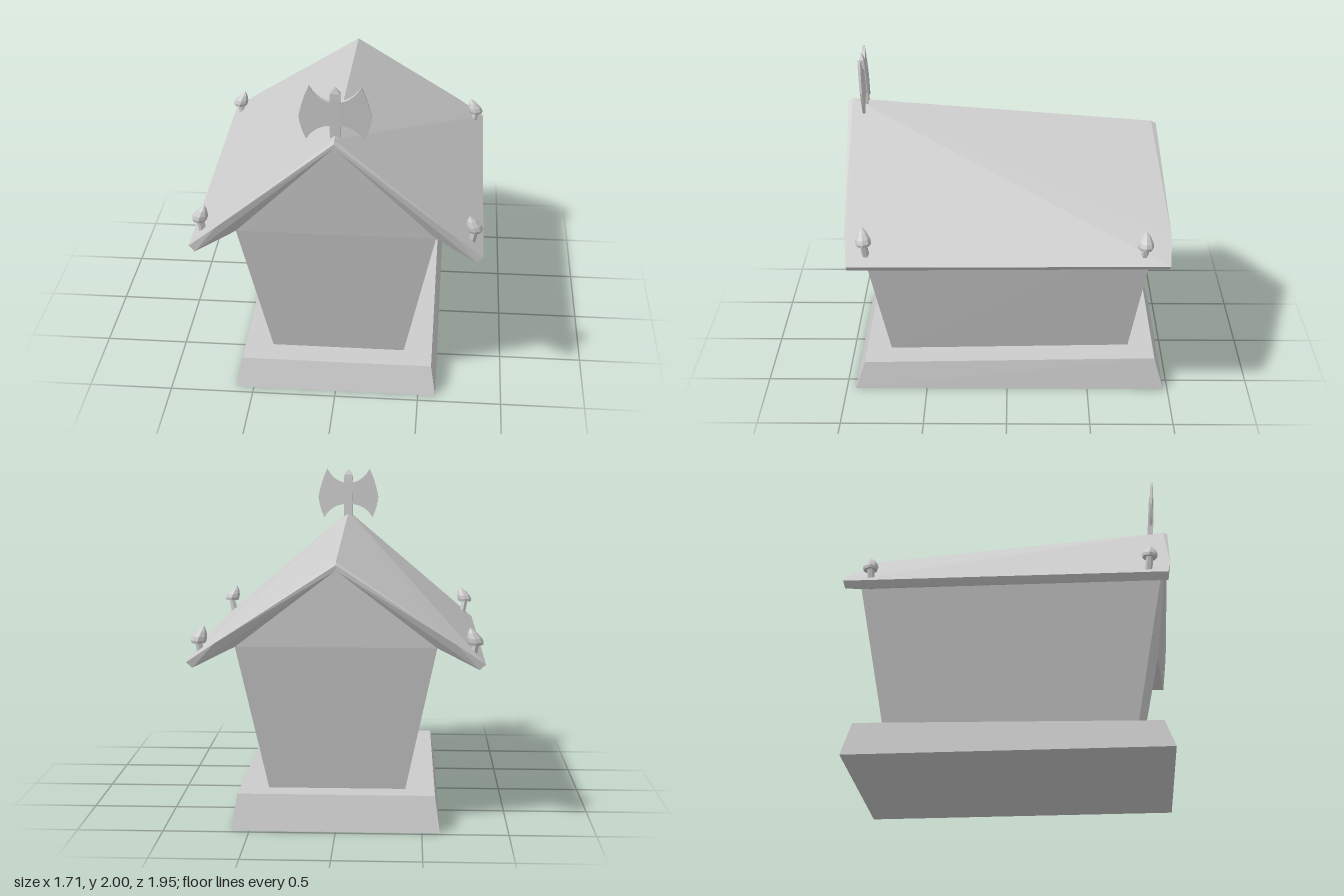
import * as THREE from 'three';
import { ConvexGeometry } from 'three/addons/geometries/ConvexGeometry.js';

const material = new THREE.MeshStandardMaterial({ color: 0xcccccc, flatShading: true });

function add(parent, name, geometry) {
  const mesh = new THREE.Mesh(geometry, material);
  mesh.name = name;
  parent.add(mesh);
  return mesh;
}

// Convex solid from corner points
const solid = (points) => new ConvexGeometry(points.map((p) => new THREE.Vector3(...p)));
// Corner points repeated on both sides of the middle plane
const both = (points) => points.flatMap(([x, y, z]) => [[x, y, z], [-x, y, z]]);

// Double-bladed axe, centred on its handle, y measured from its foot
function createAxe() {
  const axe = new THREE.Group();
  axe.name = 'ridgeAxe';

  const blade = new THREE.Shape();
  blade.moveTo(0, 0.09);
  blade.lineTo(0.03, 0.09);
  blade.quadraticCurveTo(0.12, 0.08, 0.165, 0);
  blade.quadraticCurveTo(0.195, 0.06, 0.205, 0.14);
  blade.quadraticCurveTo(0.185, 0.25, 0.145, 0.33);
  blade.quadraticCurveTo(0.1, 0.25, 0.03, 0.237);
  blade.lineTo(0, 0.237);
  const bladeGeometry = new THREE.ExtrudeGeometry(blade, { depth: 0.024, bevelEnabled: false, curveSegments: 5 });
  bladeGeometry.translate(0, 0, -0.012);
  // Thin the blade towards its cutting edge
  const p = bladeGeometry.attributes.position;
  for (let i = 0; i < p.count; i++) p.setZ(i, p.getZ(i) * (1 - 2.2 * p.getX(i)));
  bladeGeometry.computeVertexNormals();
  add(axe, 'leftBlade', bladeGeometry);
  add(axe, 'rightBlade', bladeGeometry).rotation.y = Math.PI;

  // Handle with a pointed top
  const handle = [];
  for (const x of [-1, 1]) for (const z of [-1, 1]) {
    handle.push([x * 0.03, -0.03, z * 0.019], [x * 0.03, 0.245, z * 0.016], [x * 0.028, 0.29, z * 0.014]);
  }
  handle.push([0, 0.33, 0]);
  add(axe, 'handle', solid(handle));
  return axe;
}

// Leaning mushroom-shaped finial for the +x side, cap rim at the origin
function createFinial() {
  const finial = new THREE.Group();
  finial.name = 'roofFinial';

  const profile = [[0, 0], [0.042, -0.005], [0.047, 0.012], [0.043, 0.035], [0.027, 0.065], [0, 0.095]];
  const cap = new THREE.LatheGeometry(profile.map(([x, y]) => new THREE.Vector2(x, y)), 8);
  const p = cap.attributes.position;
  // Bend the tip in towards the ridge
  for (let i = 0; i < p.count; i++) p.setX(i, p.getX(i) - 0.035 * (Math.max(0, p.getY(i)) / 0.095) ** 1.3);
  cap.computeVertexNormals();
  add(finial, 'cap', cap);

  const stem = new THREE.CylinderGeometry(0.02, 0.024, 0.12, 6);
  stem.translate(0, -0.055, 0);
  add(finial, 'stem', stem).rotation.z = -0.2;
  return finial;
}

export function createModel() {
  const model = new THREE.Group();
  model.name = 'hut';

  // Sloped plinth, slightly higher at the back
  add(model, 'base', solid(both([
    [0.605, 0, 0.945], [0.605, 0, -0.975], [0.575, 0.17, 0.885], [0.575, 0.205, -0.915],
  ])));

  // Walls flaring outwards up to the gables
  add(model, 'walls', solid([
    ...both([
      [0.4, 0.16, 0.728], [0.4, 0.19, -0.758],
      [0.58, 1.07, 0.9], [0.58, 1.07, -0.9],
    ]),
    [0, 1.665, 0.975], [0, 1.515, -0.912],
  ]));

  // Roof half: ridge, ridge lip, slope, eave, eave underside, wall top, gable top
  const roofFront = [
    [0, 1.705, 0.952], [0, 1.69, 0.978], [0.69, 1.118, 0.957], [0.855, 0.978, 0.936],
    [0.82, 0.94, 0.936], [0.58, 1.07, 0.9], [0, 1.665, 0.975],
  ];
  const roofBack = [
    [0, 1.562, -0.885], [0, 1.545, -0.915], [0.69, 1.1, -0.97], [0.855, 0.988, -0.957],
    [0.82, 0.955, -0.95], [0.58, 1.07, -0.9], [0, 1.515, -0.912],
  ];
  for (const side of [1, -1]) {
    const points = [...roofFront, ...roofBack].map(([x, y, z]) => [side * x, y, z]);
    add(model, side > 0 ? 'leftRoof' : 'rightRoof', solid(points));

    // Finials at the front and back of each eave
    for (const [y, z, lean] of [[1.103, 0.833, 0.1], [1.083, -0.808, -0.06]]) {
      const finial = createFinial();
      finial.position.set(side * 0.803, y, z);
      finial.rotation.set(lean, side > 0 ? 0 : Math.PI, 0);
      model.add(finial);
    }
  }

  // Axe leaning forward over the front gable
  const axe = createAxe();
  axe.position.set(0, 1.67, 0.867);
  axe.rotation.x = 0.064;
  model.add(axe);

  return model;
}
